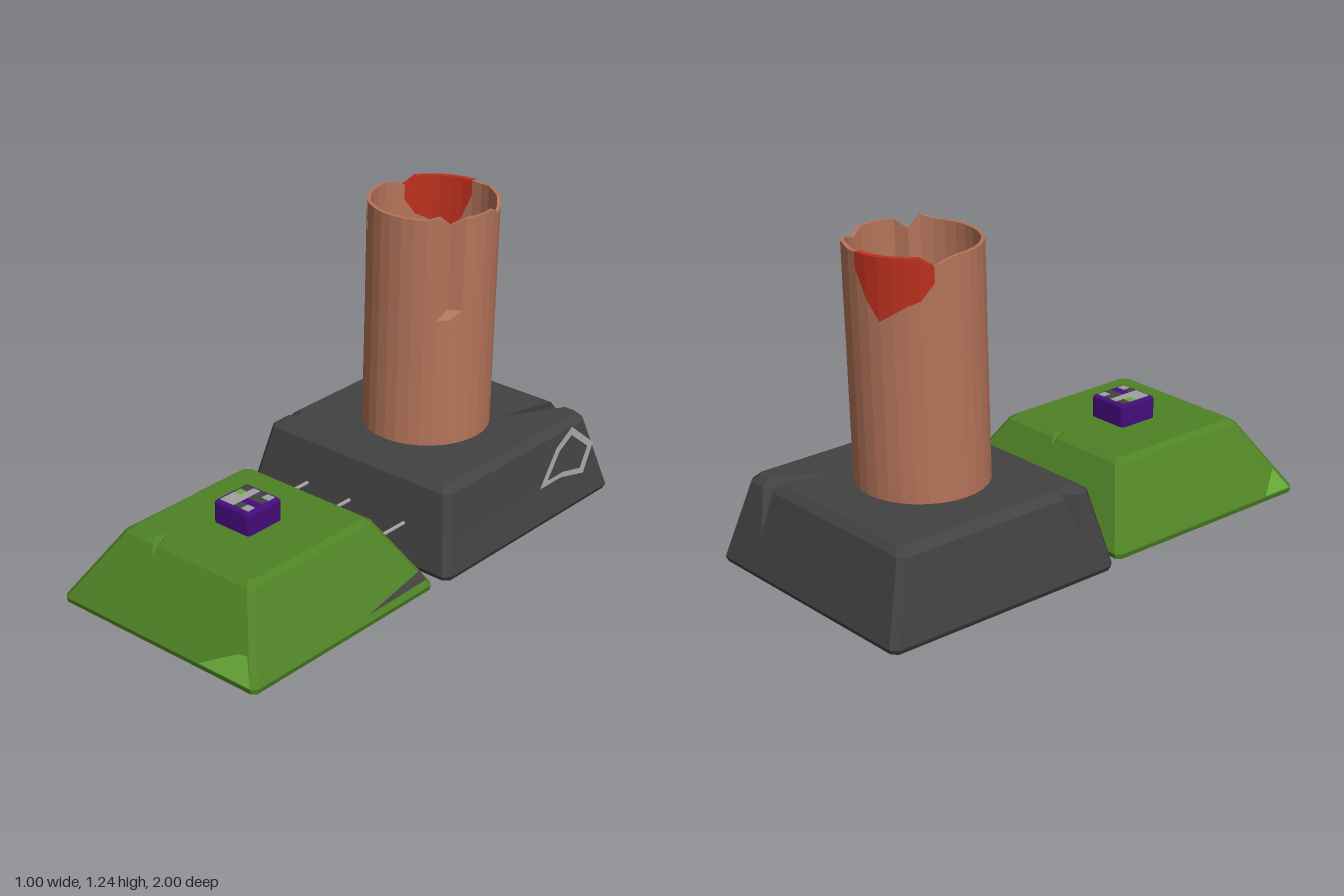
import * as THREE from 'three';
import { RoundedBoxGeometry } from 'three/addons/geometries/RoundedBoxGeometry.js';

const material = (name, color) => {
  const m = new THREE.MeshStandardMaterial({ color, side: THREE.DoubleSide, flatShading: true });
  m.name = name;
  return m;
};

// Flat-faced geometry from a list of triangles' corners
function fromCorners(corners) {
  const g = new THREE.BufferGeometry();
  g.setAttribute('position', new THREE.Float32BufferAttribute(corners.flat(), 3));
  g.computeVertexNormals();
  return g;
}

// Skin between successive rings of points, optionally capped at both ends
function loft(rings, { closed = true, caps = false } = {}) {
  const out = [];
  const n = rings[0].length;
  for (let i = 0; i + 1 < rings.length; i++) {
    for (let j = 0; j < (closed ? n : n - 1); j++) {
      const k = (j + 1) % n;
      const [a, b, c, d] = [rings[i][j], rings[i][k], rings[i + 1][k], rings[i + 1][j]];
      out.push(a, b, c, a, c, d);
    }
  }
  if (caps) {
    const cap = (ring, flip) => {
      const outline = ring.map(p => new THREE.Vector2(p[0], -p[2]));
      for (const f of THREE.ShapeUtils.triangulateShape(outline, []))
        for (const i of flip ? [f[2], f[1], f[0]] : f) out.push(ring[i]);
    };
    const bottom = rings[0].filter((p, i) => i === 0 || p.some((v, k) => Math.abs(v - rings[0][i - 1][k]) > 1e-6));
    cap(bottom, true);
    cap(rings[rings.length - 1], false);
  }
  return fromCorners(out);
}

// Sloped slab: rows of [y, x0, x1, z0, z1, corner bevel], with V notches broken into its top edge
function slab(rows, notches) {
  const topY = rows[rows.length - 1][0];
  const mix = THREE.MathUtils.lerp;
  const rings = rows.map(([y, x0, x1, z0, z1, b]) => {
    const ring = [];
    const side = (name, start, end, place) => {
      ring.push(place(start, 0));
      for (const n of notches.filter(q => q.side === name)) {
        const t = Math.max(0, (y - n.y) / (topY - n.y));
        ring.push(place(mix(n.foot, n.from, t), 0), place(mix(n.foot, n.tip, t), n.depth * t),
          place(mix(n.foot, n.to, t), 0));
      }
      ring.push(place(end, 0));
    };
    side('front', x0 + b, x1 - b, (u, d) => [u, y, z1 - d]);
    side('right', z1 - b, z0 + b, (u, d) => [x1 - d, y, u]);
    side('back', x1 - b, x0 + b, (u, d) => [u, y, z0 + d]);
    side('left', z0 + b, z1 - b, (u, d) => [x0 + d, y, u]);
    return ring;
  });
  return loft(rings, { caps: true });
}

export function createModel() {
  const model = new THREE.Group();
  const stone = material('dark stone', 0x424242);
  const clay = material('terracotta', 0xb5745a);
  const green = material('moss green', 0x4f8226);
  const lime = material('light green', 0x66aa36);
  const purple = material('purple', 0x450c7c);
  const red = material('red', 0xbc301e);
  const grey = material('light grey', 0xa0a0a0);
  const add = (name, geometry, mat) => {
    const mesh = new THREE.Mesh(geometry, mat);
    mesh.name = name;
    model.add(mesh);
    return mesh;
  };
  // Thin convex plate fanned from its first corner
  const plate = (name, p, mat) => {
    const tris = [];
    for (let i = 1; i + 1 < p.length; i++) tris.push(p[0], p[i], p[i + 1]);
    add(name, fromCorners(tris), mat);
  };

  // Dark block at the back
  add('darkBase', slab([
    [0, -0.49, 0.49, -0.99, 0, 0.02],
    [0.02, -0.5, 0.5, -1, 0.01, 0.025],
    [0.15, -0.473, 0.473, -0.962, -0.021, 0.025],
    [0.31, -0.44, 0.44, -0.915, -0.06, 0.025],
    [0.337, -0.405, 0.41, -0.89, -0.1, 0.02],
  ], [
    { side: 'back', from: 0.35, tip: 0.22, to: 0.28, foot: 0.3, depth: 0.22, y: 0.15 },
    { side: 'left', from: -0.2, tip: -0.16, to: -0.13, foot: -0.13, depth: 0.035, y: 0.15 },
  ]), stone);

  // Green block at the front
  add('greenBase', slab([
    [0, -0.455, 0.475, 0.065, 0.995, 0.015],
    [0.02, -0.46, 0.48, 0.06, 1, 0.02],
    [0.25, -0.318, 0.343, 0.193, 0.863, 0.02],
    [0.28, -0.3, 0.325, 0.21, 0.845, 0.02],
    [0.297, -0.275, 0.3, 0.235, 0.82, 0.015],
  ], [
    { side: 'front', from: -0.16, tip: -0.14, to: -0.12, foot: -0.13, depth: 0.04, y: 0.25 },
    { side: 'back', from: 0.065, tip: 0.05, to: 0.03, foot: 0.045, depth: 0.02, y: 0.25 },
  ]), green);

  // Painted patches lying on the green slopes
  const run = y => (y - 0.02) / 0.26 * 0.155;
  plate('frontPatch', [[0.22, 0.024], [0.46, 0.024], [0.405, 0.105], [0.365, 0.1]]
    .map(([x, y]) => [x, y, 1.003 - run(y)]), lime);
  plate('leftPatch', [[0.84, 0.024], [0.97, 0.024], [0.925, 0.1]]
    .map(([z, y]) => [-0.463 + run(y) * 1.03, y, z]), lime);
  plate('sideScratch', [[0.41, 0.042], [0.09, 0.045], [0.105, 0.08]]
    .map(([z, y]) => [0.483 - run(y), y, z]), stone);

  // Grey outline on the right slope of the dark block
  const outline = [[-0.57, 0.148], [-0.7, 0.265], [-0.81, 0.312], [-0.925, 0.21], [-0.84, 0.117], [-0.7, 0.148]];
  const onSlope = s => outline.map(([z, y]) => {
    const yy = 0.205 + (y - 0.205) * s;
    return [0.504 - (yy - 0.02) / 0.29 * 0.06, yy, -0.775 + (z + 0.775) * (s + 0.03 * (s < 1))];
  });
  add('sideOutline', loft([onSlope(1), onSlope(0.72)]), grey);

  // Broken, slightly leaning hollow pipe
  const point = (deg, r, y) => {
    const a = THREE.MathUtils.degToRad(deg);
    return [r * Math.sin(a), y, -0.467 - (y - 0.33) * 0.028 + r * Math.cos(a)];
  };
  const angles = [];
  for (let i = -16; i < 16; i++) angles.push(i * 11.25);
  angles.push(-40.5, -39, -37.5);
  angles.sort((a, b) => a - b);
  // Breaks in the rim: angle -> change of height
  const chips = { '-39': -0.15, 45: 0.013, 56.25: -0.03, 112.5: -0.03, 123.75: -0.02, 157.5: 0.006,
    '-112.5': -0.03, '-101.25': -0.01 };
  const rim = a => 1.225 + (chips[a] || 0);
  const dent = (a, y) => (a === 56.25 && y > 0.85 ? 0.03 : 0);
  const ring = (r, y) => angles.map(a => {
    const h = Math.min(y, rim(a));
    return point(a, r - dent(a, h), h);
  });
  add('pipe', loft([
    ring(0.245, 0.32), ring(0.245, 0.84), ring(0.245, 0.87), ring(0.246, 1.05), ring(0.246, 2),
    ring(0.232, 2), ring(0.232, 1.05), ring(0.232, 0.87), ring(0.232, 0.84), ring(0.232, 0.34),
  ]), clay);
  const floor = add('pipeFloor', new THREE.CircleGeometry(0.236, 32).rotateX(-Math.PI / 2), clay);
  floor.position.set(0, 0.345, -0.467);

  // Red patch wrapped over the back of the rim
  const lower = [1.17, 1.07, 1.0, 1.03, 1.06, 1.08, 1.14];
  const strip = (r, y) => lower.map((low, i) => {
    const a = -180 + i * 11.25;
    return point(a, r, y === 'low' ? low : rim(a) + 0.003);
  });
  add('redPatch', loft([strip(0.25, 'low'), strip(0.25, 'top'), strip(0.228, 'top'), strip(0.228, 'low')],
    { closed: false }), red);

  // Purple cube with a mosaic on top
  const cube = add('purpleCube', new RoundedBoxGeometry(0.17, 0.105, 0.17, 2, 0.012), purple);
  cube.position.set(0.005, 0.332, 0.525);
  const tiles = { D: stone, G: grey, L: lime, P: purple };
  ['DGDG', 'LGDD', 'GGPP', 'GGDG'].forEach((row, r) => [...row].forEach((key, c) => {
    const tile = add('mosaicTile', new THREE.BoxGeometry(0.034, 0.005, 0.034), tiles[key]);
    tile.position.set(0.005 + (c - 1.5) * 0.034, 0.385, 0.525 + (r - 1.5) * 0.034);
  }));

  // Rods joining the two blocks
  for (const x of [-0.21, 0, 0.265]) {
    const rod = add('rod', new THREE.CylinderGeometry(0.007, 0.007, 0.17, 8).rotateX(Math.PI / 2), grey);
    rod.position.set(x, 0.155, 0.06);
  }
  return model;
}
